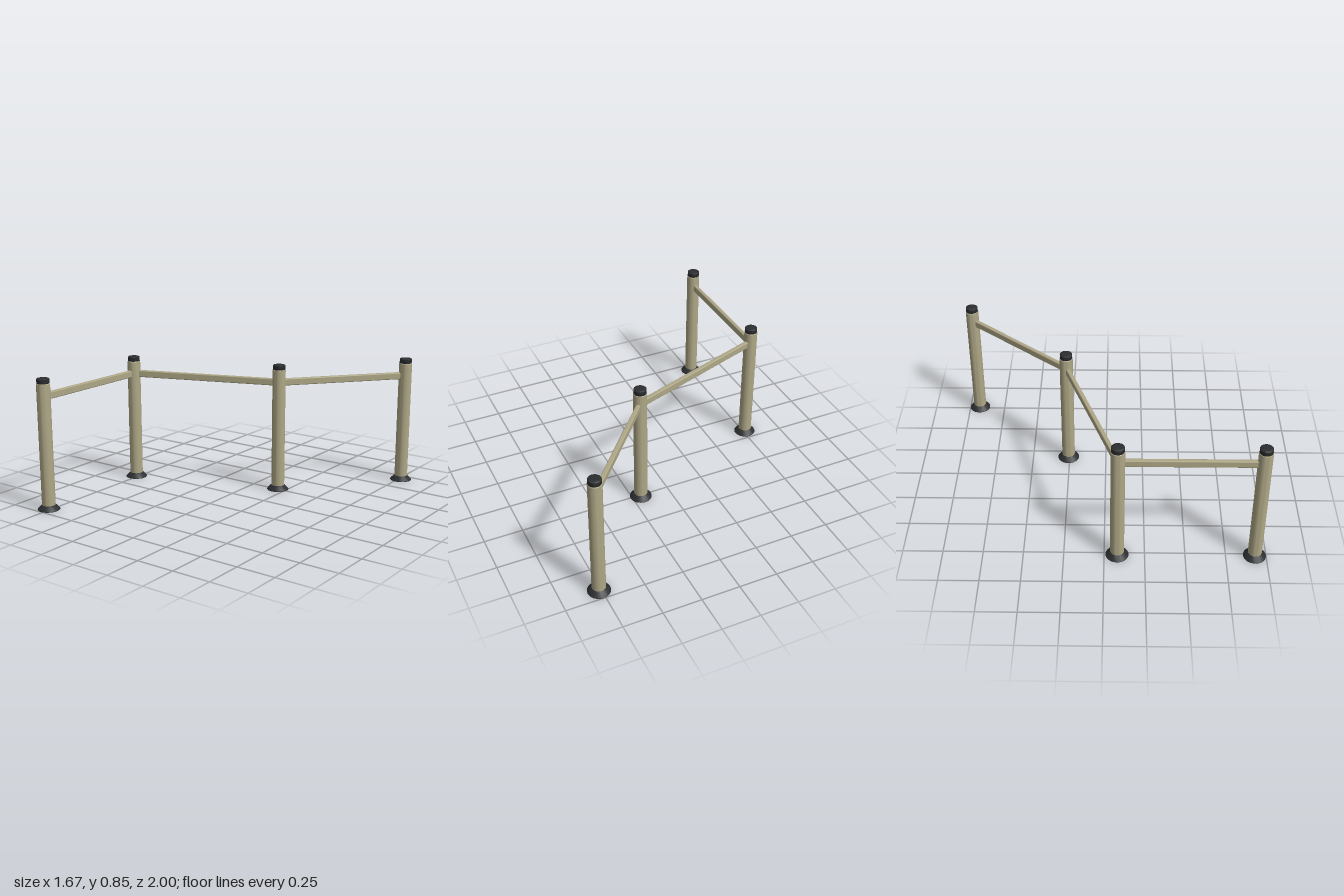
import * as THREE from 'three';
import { toCreasedNormals } from 'three/addons/utils/BufferGeometryUtils.js';
import { RoundedBoxGeometry } from 'three/addons/geometries/RoundedBoxGeometry.js';

const SIDES = 32;

// Turned part from [radius, height] points, listed bottom to top
function turned(points) {
  const profile = points.map(([r, y]) => new THREE.Vector2(r, y));
  return toCreasedNormals(new THREE.LatheGeometry(profile, SIDES), 0.5);
}

export function createModel() {
  const wood = new THREE.MeshStandardMaterial({ color: 0xaea786 });
  wood.name = 'beige';
  const dark = new THREE.MeshStandardMaterial({ color: 0x2b2d2f });
  dark.name = 'charcoal';

  const geometries = {
    post: [turned([[0.043, 0.02], [0.043, 0.815], [0.039, 0.82]]), wood],
    cap: [turned([[0.039, 0.812], [0.04, 0.814], [0.04, 0.846], [0.036, 0.849], [0.025, 0.851], [0, 0.851]]), dark],
    baseFlange: [turned([[0.071, 0], [0.071, 0.003], [0.046, 0.03], [0.043, 0.032]]), dark],
    baseUnderside: [turned([[0, 0], [0.071, 0]]), wood],
  };

  const group = new THREE.Group();
  group.name = 'railFence';

  // Post positions in x and z
  const spots = [[-0.764, 0.929], [-0.764, 0.08], [0.191, -0.257], [0.764, -0.929]];

  spots.forEach(([x, z], i) => {
    const post = new THREE.Group();
    post.name = `postAssembly${i + 1}`;
    post.position.set(x, 0, z);
    for (const [name, [geometry, material]] of Object.entries(geometries)) {
      const mesh = new THREE.Mesh(geometry, material);
      mesh.name = name;
      post.add(mesh);
    }
    group.add(post);
  });

  // Flat rails with softened edges joining neighbouring posts
  for (let i = 0; i < spots.length - 1; i++) {
    const [x0, z0] = spots[i];
    const [x1, z1] = spots[i + 1];
    const length = Math.hypot(x1 - x0, z1 - z0) - 0.06;
    const rail = new THREE.Mesh(new RoundedBoxGeometry(0.028, 0.046, length, 3, 0.007), wood);
    rail.name = `rail${i + 1}`;
    rail.position.set((x0 + x1) / 2, 0.733, (z0 + z1) / 2);
    rail.rotation.y = Math.atan2(x1 - x0, z1 - z0);
    group.add(rail);
  }

  return group;
}
